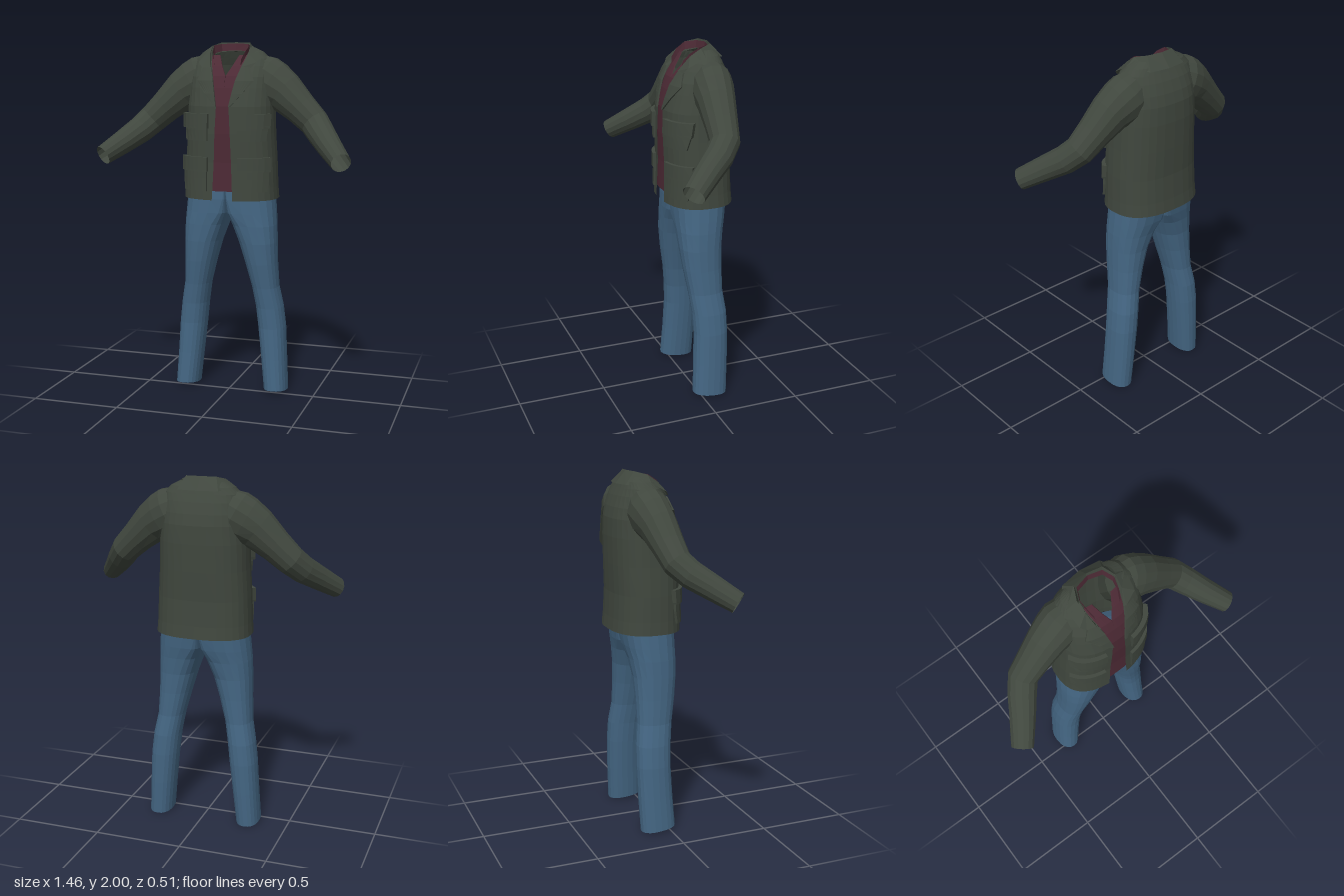
import * as THREE from 'three';

const mat = (name, color) => {
  const m = new THREE.MeshStandardMaterial({ color, flatShading: true, side: THREE.DoubleSide });
  m.name = name;
  return m;
};
const V = (x, y, z) => new THREE.Vector3(x, y, z);
const lerp = THREE.MathUtils.lerp;
const pw = (v, e) => Math.sign(v) * Math.pow(Math.abs(v), e);

// Skin over rows of points; columns run counter-clockwise, rows run upwards
function loft(rows, closed = false) {
  const n = rows[0].length, pos = [], idx = [];
  rows.forEach(r => r.forEach(p => pos.push(p.x, p.y, p.z)));
  for (let i = 0; i < rows.length - 1; i++)
    for (let j = 0; j < (closed ? n : n - 1); j++) {
      const a = i * n + j, b = i * n + (j + 1) % n;
      idx.push(a, b, a + n, b, b + n, a + n);
    }
  const g = new THREE.BufferGeometry();
  g.setAttribute('position', new THREE.Float32BufferAttribute(pos, 3));
  g.setIndex(idx);
  g.computeVertexNormals();
  return g;
}
const mirror = rows => rows.map(r => r.map(p => V(-p.x, p.y, p.z)).reverse());

// Jacket body: height, half width, front z, back z, half opening
const BODY = [
  [1.13, .27, .14, -.252, .06], [1.2, .265, .137, -.245, .056], [1.34, .26, .132, -.238, .05],
  [1.5, .25, .137, -.244, .044], [1.65, .245, .133, -.247, .036], [1.75, .237, .11, -.243, .055],
  [1.81, .232, .09, -.23, .068], [1.87, .222, .052, -.208, .085], [1.91, .21, .02, -.188, .098],
  [1.945, .175, -.005, -.172, .106], [1.97, .125, -.02, -.15, .108],
];
const E = 0.8;

function profile(y) {
  let i = 0;
  while (i < BODY.length - 2 && y > BODY[i + 1][0]) i++;
  const t = THREE.MathUtils.clamp((y - BODY[i][0]) / (BODY[i + 1][0] - BODY[i][0]), 0, 1);
  return BODY[i].map((v, k) => lerp(v, BODY[i + 1][k], t));
}

// Point on the jacket front at x, y, raised by t
function onFront(x, y, t) {
  const [, w, zf, zb] = profile(y), c = (zf + zb) / 2;
  const k = Math.min(Math.abs(x) / w, .99);
  return V(x + t * k * k, y, c + (zf - c) * Math.pow(1 - Math.pow(k, 2 / E), E / 2) + t);
}

// Raised panel following the jacket front; outline rows are [y, x0, x1]
function panel(outline, t, base = 0, cols = 6) {
  const row = ([y, x0, x1], raised) => {
    const r = [onFront(x0, y, base)];
    for (let j = 0; j <= cols; j++) r.push(onFront(lerp(x0, x1, j / cols), y, raised ? t : base));
    r.push(onFront(x1, y, base));
    return r;
  };
  return [row(outline[0], false), ...outline.map(o => row(o, true)), row(outline.at(-1), false)];
}

function bodyRows() {
  const N = 30;
  return BODY.map(([y, w, zf, zb, g]) => {
    const c = (zf + zb) / 2, d = (zf - zb) / 2, a0 = Math.asin(Math.pow(g / w, 1 / E)), r = [];
    for (let j = 0; j <= N; j++) {
      const a = lerp(a0, 2 * Math.PI - a0, j / N);
      r.push(V(w * pw(Math.sin(a), E), y, c + d * pw(Math.cos(a), E)));
    }
    return r;
  });
}

function sleeveRows() {
  // centre x, y, z, then depth and height radii
  const path = [
    [.12, 1.83, -.09, .09, .115], [.18, 1.795, -.088, .112, .138], [.235, 1.765, -.08, .11, .133],
    [.3, 1.725, -.07, .1, .115], [.4, 1.635, -.055, .087, .092], [.48, 1.56, -.04, .08, .082],
    [.53, 1.505, .015, .077, .077], [.6, 1.44, .11, .07, .067], [.68, 1.37, .212, .062, .055],
  ];
  const P = path.map(p => V(p[0], p[1], p[2]));
  return path.map((p, i) => {
    const T = P[Math.min(i + 1, P.length - 1)].clone().sub(P[Math.max(i - 1, 0)]).normalize();
    const A = V(0, 0, 1).addScaledVector(T, -T.z).normalize();
    const B = T.clone().cross(A), r = [];
    for (let j = 0; j < 14; j++) {
      const a = j / 14 * Math.PI * 2;
      r.push(P[i].clone().addScaledVector(A, p[3] * Math.cos(a)).addScaledVector(B, p[4] * Math.sin(a)));
    }
    return r;
  });
}

function legRows() {
  // height, inner x, outer x, front z, back z, inner roundness, hem tilt
  const rows = [
    [.016, .2, .335, .042, -.157, .9, .1], [.2, .18, .325, .031, -.166, .9, 0],
    [.38, .16, .316, .024, -.171, .9, 0], [.5, .147, .302, .03, -.168, .9, 0],
    [.62, .127, .279, .045, -.153, .9, 0], [.76, .09, .272, .068, -.153, .9, 0],
    [.88, .055, .27, .082, -.158, .85, 0], [.98, .02, .267, .088, -.172, .7, 0],
    [1.05, 0, .262, .091, -.188, .4, 0], [1.13, 0, .255, .092, -.2, .15, 0],
    [1.24, 0, .23, .088, -.195, .12, 0],
  ];
  return rows.map(([y, xi, xo, zf, zb, e, tilt]) => {
    const c = (zf + zb) / 2, d = (zf - zb) / 2, r = [];
    const xm = lerp(xi, xo, lerp(.3, .5, e / .9));
    for (let j = 0; j < 20; j++) {
      const a = j / 20 * Math.PI * 2, s = Math.sin(a);
      const inner = s < -1e-6, k = inner ? e : .85;
      const z = c + d * pw(Math.cos(a), k);
      r.push(V(xm + (inner ? xm - xi : xo - xm) * pw(s, k), y + tilt * z, z));
    }
    return r;
  });
}

// Half a collar edge, front to back centre, completed by mirroring
function collarRow(pts) {
  const half = pts.map(p => V(...p));
  return [...half, ...half.slice(0, -1).reverse().map(p => V(-p.x, p.y, p.z))];
}

export function createModel() {
  const green = mat('jacketGreen', 0x40473e);
  const red = mat('shirtMaroon', 0x4d2a35);
  const blue = mat('denimBlue', 0x446683);
  const group = new THREE.Group();
  group.name = 'outfit';

  const add = (name, geo, material) => {
    const m = new THREE.Mesh(geo, material);
    m.name = name;
    group.add(m);
  };
  const pair = (name, rows, material, closed = false) => {
    add('left' + name, loft(rows, closed), material);
    add('right' + name, loft(mirror(rows), closed), material);
  };

  // Jacket
  add('jacketBody', loft(bodyRows()), green);
  pair('Sleeve', sleeveRows(), green, true);
  add('jacketCollar', loft([
    collarRow([[.14, 1.86, .055], [.167, 1.89, .035], [.178, 1.94, -.06], [.115, 1.93, -.182], [0, 1.93, -.198]]),
    collarRow([[.092, 1.865, .068], [.11, 1.94, .005], [.116, 1.98, -.055], [.085, 1.998, -.122], [0, 2, -.138]]),
    collarRow([[.085, 1.86, .05], [.1, 1.91, 0], [.105, 1.93, -.05], [.08, 1.945, -.112], [0, 1.95, -.13]]),
  ]), green);
  pair('Lapel', panel([[1.65, .036, .045], [1.72, .049, .105], [1.79, .063, .16], [1.86, .083, .13]], .01), green);

  // Cargo pockets with overhanging flaps
  pair('ChestPocket', panel([[1.46, .085, .222], [1.52, .085, .23], [1.6, .085, .232]], .012), green);
  pair('ChestPocketFlap', panel([[1.53, .08, .234], [1.545, .08, .235], [1.61, .08, .236]], .022), green);
  pair('HipPocket', panel([[1.18, .09, .235], [1.25, .09, .24], [1.35, .09, .24]], .01), green);
  pair('HipPocketFlap', panel([[1.29, .085, .243], [1.3, .085, .244], [1.37, .085, .244]], .018), green);

  // Shirt
  pair('ShirtFront', panel([[1.18, 0, .12], [1.34, 0, .11], [1.5, 0, .1], [1.65, 0, .1], [1.75, 0, .1],
    [1.815, .001, .1], [1.87, .03, .105], [1.93, .058, .105]], -.013, -.02), red);
  add('shirtCollar', loft([
    collarRow([[.075, 1.87, .038], [.09, 1.91, 0], [.097, 1.94, -.05], [.074, 1.95, -.104], [0, 1.955, -.122]]),
    collarRow([[.08, 1.91, .035], [.094, 1.95, .002], [.104, 1.982, -.05], [.077, 1.99, -.11], [0, 1.994, -.128]]),
  ]), red);

  // Jeans
  pair('JeanLeg', legRows(), blue, true);
  return group;
}
